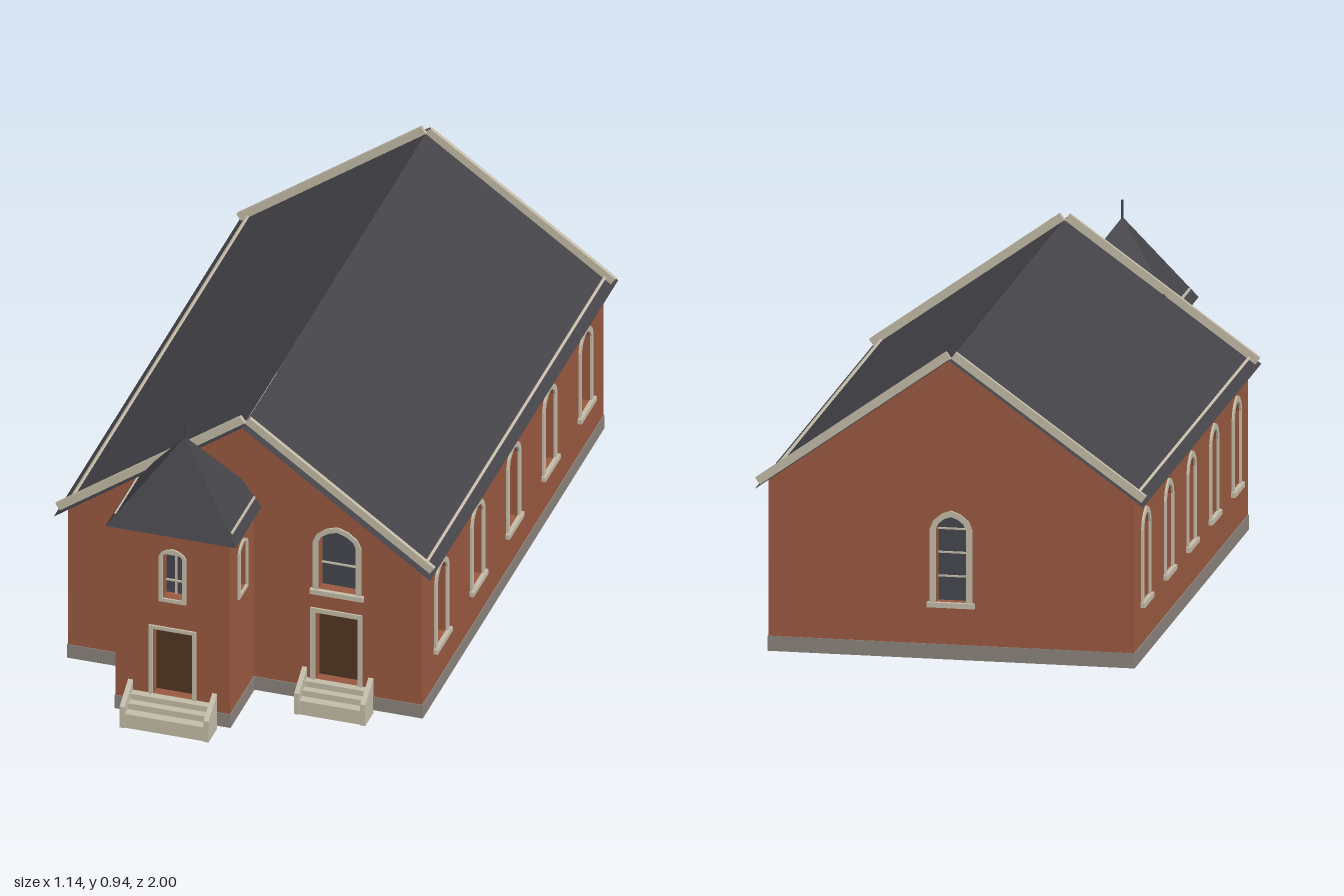
import * as THREE from 'three';

const mat = (name, color, double) => {
  const m = new THREE.MeshStandardMaterial({ color });
  m.name = name;
  if (double) m.side = THREE.DoubleSide;
  return m;
};

export function createModel() {
  const brick = mat('brick', 0x98593f, true);
  const slate = mat('slate', 0x434348, true);
  const stone = mat('paleStone', 0xc2baa7);
  const footing = mat('footingGrey', 0x8a827b);
  const glass = mat('darkGlass', 0x45464e, true);
  const wood = mat('darkWood', 0x4f3622, true);

  const model = new THREE.Group();
  model.name = 'church';

  const add = (parent, name, geo, material, x = 0, y = 0, z = 0) => {
    const m = new THREE.Mesh(geo, material);
    m.name = name;
    m.position.set(x, y, z);
    parent.add(m);
    return m;
  };
  const box = (parent, name, material, w, h, d, x, y, z) =>
    add(parent, name, new THREE.BoxGeometry(w, h, d), material, x, y, z);
  const points = (list) => list.map(([x, y]) => new THREE.Vector2(x, y));

  // Outline of an opening: rectangular when spring equals top, otherwise arched
  function outline({ x, w, y0, spring, top }, grow = 0, growBase = 0) {
    const a = w + grow, t = top + grow, base = y0 - growBase;
    if (spring === top) return points([[x - a, base], [x + a, base], [x + a, t], [x - a, t]]);
    const h = t - spring;
    const arc = [[1, 0], [0.84, 0.45], [0.45, 0.82]];
    return points([
      [x - a, base], [x + a, base],
      ...arc.map(([u, v]) => [x + u * a, spring + v * h]),
      [x, t],
      ...arc.slice().reverse().map(([u, v]) => [x - u * a, spring + v * h]),
    ]);
  }

  // Strip of quads running inward round an opening
  function reveal(pts, depth) {
    const pos = [];
    pts.forEach((p, i) => {
      const q = pts[(i + 1) % pts.length];
      pos.push(p.x, p.y, 0, q.x, q.y, -depth, q.x, q.y, 0);
      pos.push(p.x, p.y, 0, p.x, p.y, -depth, q.x, q.y, -depth);
    });
    const g = new THREE.BufferGeometry();
    g.setAttribute('position', new THREE.Float32BufferAttribute(pos, 3));
    g.computeVertexNormals();
    return g;
  }

  // Recessed door or window with surround, sill and glazing bars
  function opening(parent, o) {
    const depth = 0.035, g = new THREE.Group();
    g.name = o.door ? 'door' : 'window';
    parent.add(g);
    const inner = outline(o);
    add(g, 'reveal', reveal(inner, depth), brick);
    add(g, o.door ? 'doorPanel' : 'pane', new THREE.ShapeGeometry(new THREE.Shape(inner)),
      o.door ? wood : glass, 0, 0, -depth);
    const frame = new THREE.Shape(outline(o, o.trim, o.baseTrim || 0));
    const hole = o.baseTrim ? inner : outline({ ...o, y0: o.y0 + 0.001 });
    frame.holes.push(new THREE.Path(hole));
    add(g, 'surround', new THREE.ExtrudeGeometry(frame, { depth: 0.006, bevelEnabled: false }), stone);
    if (o.sill) box(g, 'sill', stone, 2 * (o.w + o.trim) + 0.015, 0.015, 0.013, o.x, o.y0 - 0.005, 0.0065);
    for (const y of o.bars || []) box(g, 'glazingBar', stone, 2 * o.w, 0.005, 0.005, o.x, y, -depth + 0.003);
    if (o.mullion) box(g, 'mullion', stone, 0.005, o.top - o.y0, 0.005, o.x, (o.top + o.y0) / 2, -depth + 0.003);
  }

  // Brick wall sheet facing its own +z, with openings and a footing strip
  const BASE = 0.012;
  function wall(name, pts, openings, x, z, turn) {
    const g = new THREE.Group();
    g.name = name;
    g.position.set(x, 0, z);
    g.rotation.y = turn;
    const s = new THREE.Shape(points(pts));
    openings.forEach((o) => s.holes.push(new THREE.Path(outline(o))));
    add(g, 'brickwork', new THREE.ShapeGeometry(s), brick);
    openings.forEach((o) => opening(g, o));
    const xs = pts.map((p) => p[0]), lo = Math.min(...xs), hi = Math.max(...xs);
    box(g, 'footing', footing, hi - lo + 0.006, 0.044, 0.004, (lo + hi) / 2, BASE + 0.022, 0.001);
    model.add(g);
  }
  const rect = (a, h) => [[-a, BASE], [a, BASE], [a, h], [-a, h]];

  // Nave
  const W = 0.533, FRONT = 0.70, BACK = -0.965, PEAK = 0.90, SLOPE = 0.716;
  const eave = PEAK - SLOPE * W;
  const gable = [[-W, BASE], [W, BASE], [W, eave], [0, PEAK], [-W, eave]];
  const lancet = (x) => ({ x, w: 0.044, y0: 0.178, spring: 0.395, top: 0.433, trim: 0.018, sill: true, bars: [0.25, 0.32, 0.39] });
  wall('frontWall', gable, [
    { x: 0.276, w: 0.064, y0: 0.08, spring: 0.308, top: 0.308, trim: 0.014, door: true },
    { x: 0.278, w: 0.057, y0: 0.385, spring: 0.545, top: 0.588, trim: 0.016, sill: true, bars: [0.46] },
  ], 0, FRONT, 0);
  wall('backWall', gable, [lancet(0)], 0, BACK, Math.PI);
  const mid = (FRONT + BACK) / 2;
  for (const s of [1, -1]) {
    const row = [0.527, 0.197, -0.134, -0.465, -0.797].map((z) => lancet(-s * (z - mid)));
    wall(s > 0 ? 'leftWall' : 'rightWall', rect((FRONT - BACK) / 2, eave), row, s * W, mid, s * Math.PI / 2);
  }

  // Nave roof: two sheets with raised edge boards
  const angle = Math.atan(SLOPE), LEN = 0.566 / Math.cos(angle);
  for (const s of [1, -1]) {
    const side = new THREE.Group();
    side.name = s > 0 ? 'leftRoof' : 'rightRoof';
    side.position.y = PEAK;
    side.rotation.z = -s * angle;
    model.add(side);
    const sheet = new THREE.PlaneGeometry(LEN, 1.73).rotateX(-Math.PI / 2);
    add(side, 'roofSheet', sheet, slate, s * LEN / 2, 0.001, -0.135);
    for (const z of [FRONT - 0.003, BACK - 0.002])
      box(side, 'gableBoard', stone, LEN - 0.012, 0.025, 0.012, s * (LEN - 0.012) / 2, 0.0125, z);
    box(side, 'eaveStrip', stone, 0.008, 0.008, FRONT - BACK, s * 0.658, 0.004, mid);
  }

  // Tower
  const TX = -0.146, TW = 0.172, TF = 0.92, TOP = 0.63;
  const towerWindow = (x) => ({ x, w: 0.03, y0: 0.41, spring: 0.55, top: 0.567, trim: 0.011, baseTrim: 0.011, bars: [0.453, 0.54], mullion: true });
  wall('towerFront', rect(TW, TOP), [
    { x: 0, w: 0.06, y0: 0.08, spring: 0.302, top: 0.302, trim: 0.011, door: true },
    towerWindow(0),
  ], TX, TF, 0);
  for (const s of [1, -1])
    wall(s > 0 ? 'towerLeft' : 'towerRight', rect((TF - FRONT) / 2, TOP), [towerWindow(s * 0.003)],
      TX + s * TW, (TF + FRONT) / 2, s * Math.PI / 2);

  // Tower roof: four triangles meeting at the apex
  const apex = [TX, 0.89, 0.807], RW = 0.196, RB = 0.65, RF = 0.94;
  const corners = [[TX - RW, TOP, RF], [TX + RW, TOP, RF], [TX + RW, TOP, RB], [TX - RW, TOP, RB]];
  const spire = new THREE.BufferGeometry();
  spire.setAttribute('position', new THREE.Float32BufferAttribute(
    corners.flatMap((c, i) => [...c, ...corners[(i + 1) % 4], ...apex]), 3));
  spire.computeVertexNormals();
  add(model, 'towerRoof', spire, slate);
  for (const s of [1, -1]) box(model, 'towerRoofStrip', stone, 0.006, 0.006, 0.21, TX + s * 0.175, 0.659, 0.808);
  box(model, 'finial', slate, 0.006, 0.06, 0.006, TX, 0.91, 0.807);

  // Entrance steps between two sloping cheek walls
  function steps(name, x, half, z, run) {
    const g = new THREE.Group();
    g.name = name;
    g.position.set(x, 0, z);
    model.add(g);
    const cheek = new THREE.Shape(points([[0, 0], [run, 0], [run, 0.07], [0, 0.117]]));
    for (const s of [1, -1]) {
      const geo = new THREE.ExtrudeGeometry(cheek, { depth: 0.015, bevelEnabled: false });
      geo.translate(0, 0, -0.0075).rotateY(-Math.PI / 2);
      add(g, 'cheekWall', geo, stone, s * (half - 0.0075));
    }
    [[0.046, 0.96], [0.065, 0.6], [0.083, 0.3]].forEach(([h, f]) =>
      box(g, 'step', stone, 2 * half - 0.03, h, run * f, 0, h / 2, run * f / 2));
  }
  steps('towerSteps', TX, 0.134, TF, 0.08);
  steps('naveSteps', 0.279, 0.107, FRONT, 0.075);

  return model;
}
